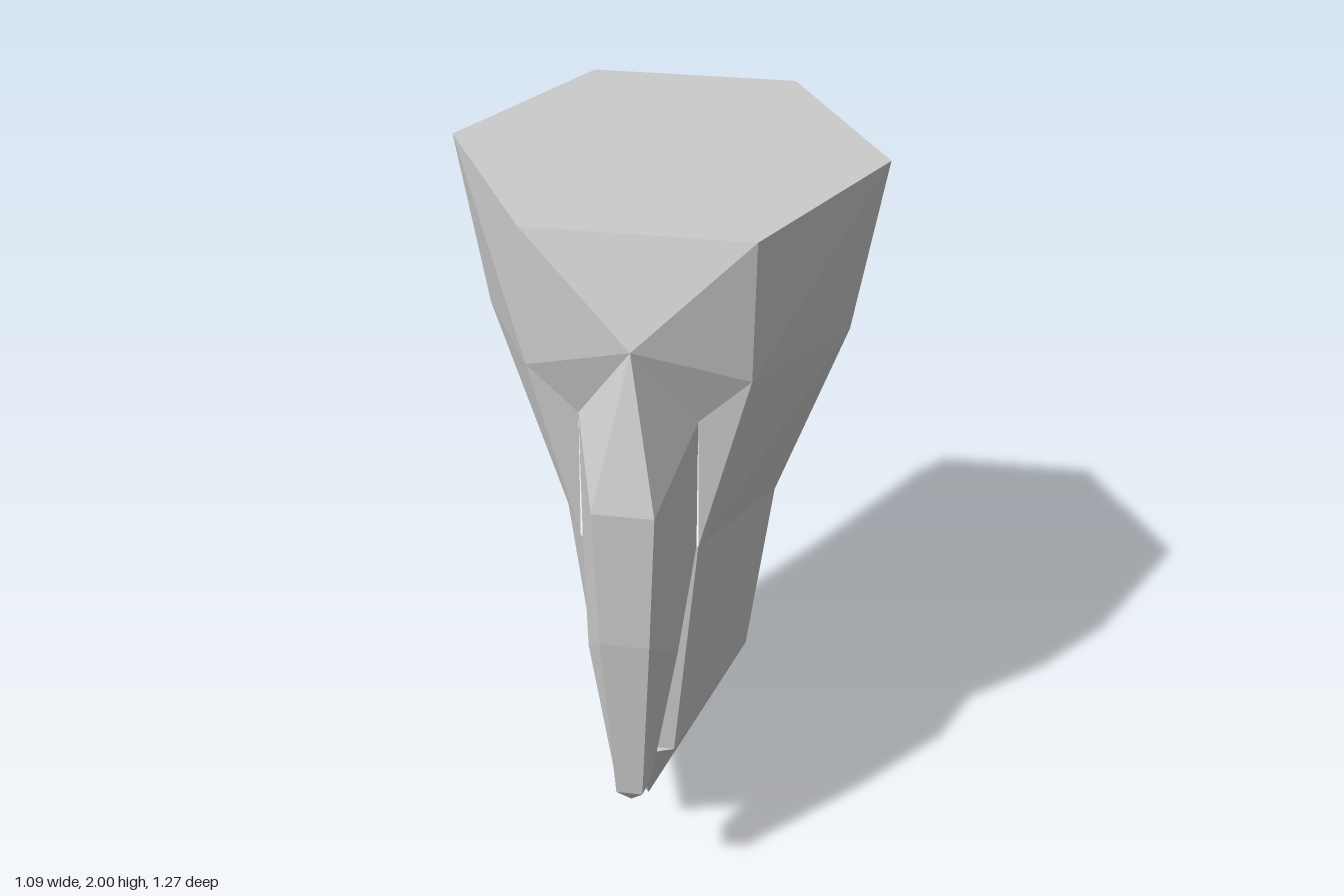
import * as THREE from 'three';

const material = new THREE.MeshStandardMaterial({ color: 0xcccccc, flatShading: true });

// Fan-triangulates faces given for the +x half and mirrors them to the -x half.
function mirroredMesh(name, faces) {
  const pos = [];
  for (const face of faces) {
    for (let i = 1; i < face.length - 1; i++) {
      const [a, b, c] = [face[0], face[i], face[i + 1]].map((p) => new THREE.Vector3(...p));
      const area = b.clone().sub(a).cross(c.clone().sub(a)).length();
      if (area < 1e-6) continue;
      for (const v of [a, b, c]) pos.push(v.x, v.y, v.z);
      for (const v of [a, c, b]) pos.push(-v.x, v.y, v.z);
    }
  }
  const geometry = new THREE.BufferGeometry();
  geometry.setAttribute('position', new THREE.Float32BufferAttribute(pos, 3));
  geometry.computeVertexNormals();
  const mesh = new THREE.Mesh(geometry, material);
  mesh.name = name;
  return mesh;
}

// The same point moved onto the centre plane.
const mid = ([, y, z]) => [0, y, z];

// Points shared by the body and the trunk
const apex = [0, 1.755, 0.505];
const root = [0.145, 1.52, 0.405];

function buildBody() {
  // Half rings from top to bottom: front centre, front, side, back, back centre
  const rings = [
    [[0, 2, 0.4], [0.272, 2, 0.4], [0.545, 2, -0.08], [0.272, 2, -0.555], [0, 2, -0.555]],
    [apex, [0.27, 1.64, 0.4], [0.475, 1.53, -0.08], [0.235, 1.75, -0.61], [0, 1.75, -0.61]],
    [[0, 1.15, 0.405], [0.15, 1.15, 0.405], [0.3, 1.005, -0.08], [0.15, 1, -0.59], [0, 1, -0.59]],
    [[0, 0.44, 0.4], [0.09, 0.44, 0.4], [0.235, 0.44, -0.08], [0.1, 0.44, -0.59], [0, 0.44, -0.635]],
    [[0, 0.44, 0.435], [0.09, 0.44, 0.4], [0.235, 0.44, -0.08], [0.1, 0.44, -0.59], [0, 0.44, -0.635]],
    [[0, 0.15, 0.29], [0, 0.15, 0.29], [0, 0, -0.08], [0, 0.15, -0.46], [0, 0.15, -0.46]],
  ];
  const faces = [rings[0]]; // flat top
  for (let r = 0; r < rings.length - 1; r++) {
    const u = rings[r], l = rings[r + 1];
    for (let i = 0; i < 4; i++) {
      if (r === 1 && i === 0) continue; // brow panel, built below
      const quad = [l[i], l[i + 1], u[i + 1], u[i]];
      if (i === 3) quad.push(quad.shift()); // fold the back panel towards its centre
      faces.push(quad);
    }
  }
  // Brow panel on either side of the trunk root
  faces.push([root, rings[2][1], rings[1][1]], [root, rings[1][1], apex]);
  return mirroredMesh('body', faces);
}

function buildTrunk() {
  const frontTop = [0.075, 1.39, 0.635], frontMid = [0.062, 1, 0.64], frontEnd = [0.035, 0.46, 0.605];
  const rootLow = [0.145, 1.15, 0.405], backMid = [0.115, 0.89, 0.52], backEnd = [0.05, 0.47, 0.545];
  const tip = [0, 0.41, 0.575];
  return mirroredMesh('trunk', [
    // bridge
    [apex, mid(frontTop), frontTop], [apex, frontTop, root],
    // front
    [mid(frontMid), frontMid, frontTop, mid(frontTop)],
    [mid(frontEnd), frontEnd, frontMid, mid(frontMid)],
    // side
    [frontTop, frontMid, backMid, rootLow, root], [frontMid, frontEnd, backEnd, backMid],
    // underside
    [backMid, mid(backMid), mid(rootLow), rootLow], [backEnd, mid(backEnd), mid(backMid), backMid],
    // pointed tip
    [frontEnd, tip, backEnd], [mid(frontEnd), tip, frontEnd], [backEnd, tip, mid(backEnd)],
  ]);
}

export function createModel() {
  const group = new THREE.Group();
  group.name = 'head';
  group.add(buildBody(), buildTrunk());
  return group;
}
